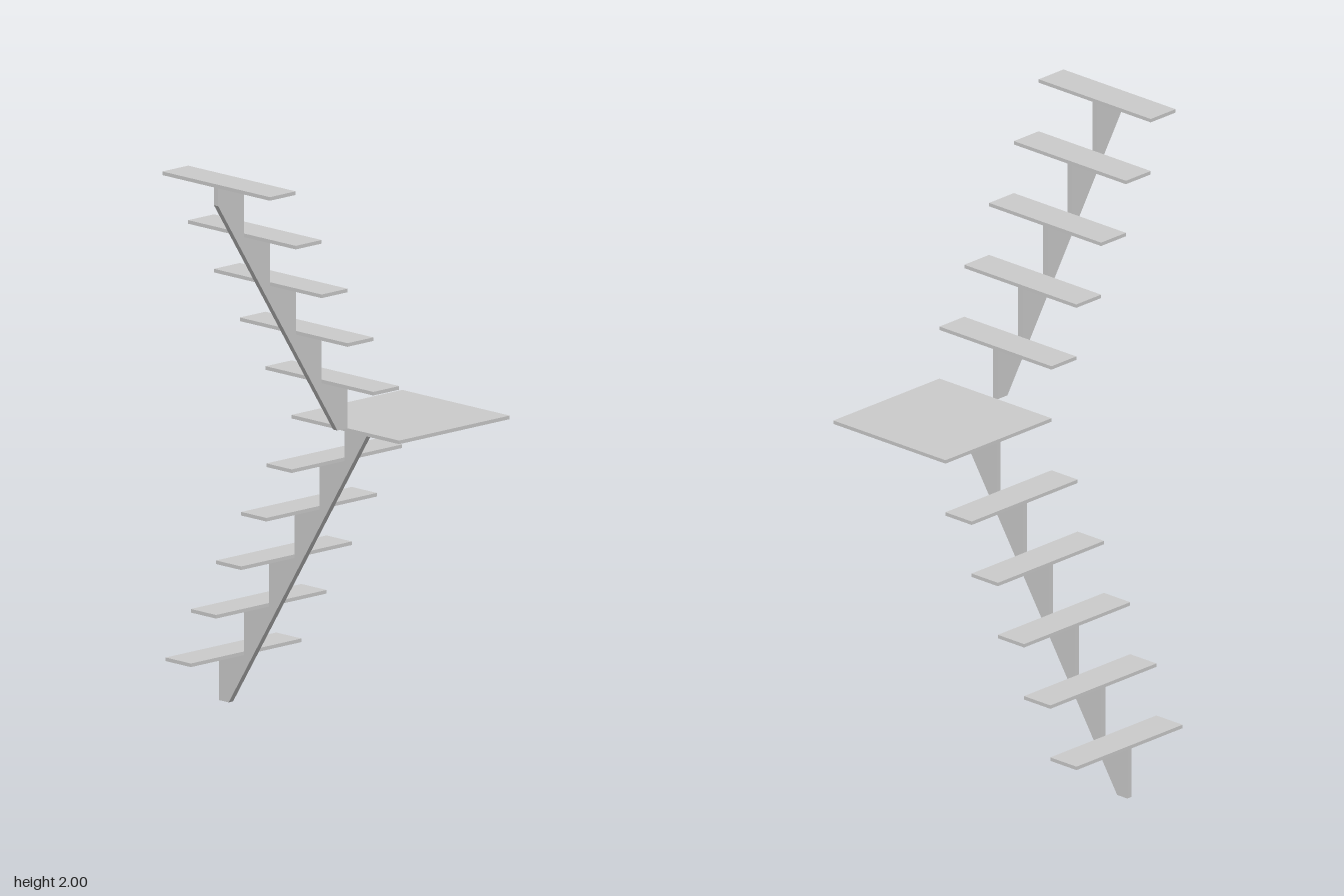
import * as THREE from 'three';

const RISE = 0.1818, RUN = 0.117, THICK = 0.012, WIDTH = 0.5;
const EDGE = 0.0425, CENTRE = 0.2925, STEPS = 5;
const grey = new THREE.MeshStandardMaterial({ color: 0xcccccc, flatShading: true });

function box(name, w, h, d, x, y, z) {
  const mesh = new THREE.Mesh(new THREE.BoxGeometry(w, h, d), grey);
  mesh.position.set(x, y, z);
  mesh.name = name;
  return mesh;
}

// One straight flight climbing along local +x from the origin.
// teeth: number of saw teeth cut into the central beam
function flight(name, teeth) {
  const group = new THREE.Group();
  group.name = name;

  // central sawtooth beam with a sloping underside
  const shape = new THREE.Shape();
  shape.moveTo(0, 0);
  for (let i = 0; i < teeth; i++) {
    const top = (i + 1) * RISE - THICK;
    shape.lineTo(i * RUN, top);
    shape.lineTo((i + 1) * RUN, top);
  }
  shape.lineTo(teeth * RUN, (teeth * RUN - 0.046) * RISE / RUN);
  shape.lineTo(0.046, 0);
  shape.closePath();
  const geometry = new THREE.ExtrudeGeometry(shape, { depth: 0.02, bevelEnabled: false });
  geometry.translate(0, 0, -0.01);
  const beam = new THREE.Mesh(geometry, grey);
  beam.name = 'sawtoothBeam';
  group.add(beam);

  // floating treads
  for (let i = 0; i < STEPS; i++) {
    group.add(box('tread', RUN, THICK, WIDTH, (i + 0.5) * RUN, (i + 1) * RISE - THICK / 2, 0));
  }
  return group;
}

export function createModel() {
  const model = new THREE.Group();
  model.name = 'quarterTurnStaircase';

  // lower flight climbs towards the front
  const lower = flight('lowerFlight', STEPS + 1);
  lower.rotation.y = -Math.PI / 2;
  lower.position.set(CENTRE, 0, EDGE - STEPS * RUN);
  model.add(lower);

  // square corner landing
  const landingTop = (STEPS + 1) * RISE;
  model.add(box('landing', WIDTH, THICK, WIDTH, CENTRE, landingTop - THICK / 2, CENTRE));

  // upper flight climbs towards the right
  const upper = flight('upperFlight', STEPS);
  upper.rotation.y = Math.PI;
  upper.position.set(EDGE, landingTop, CENTRE);
  model.add(upper);

  return model;
}
